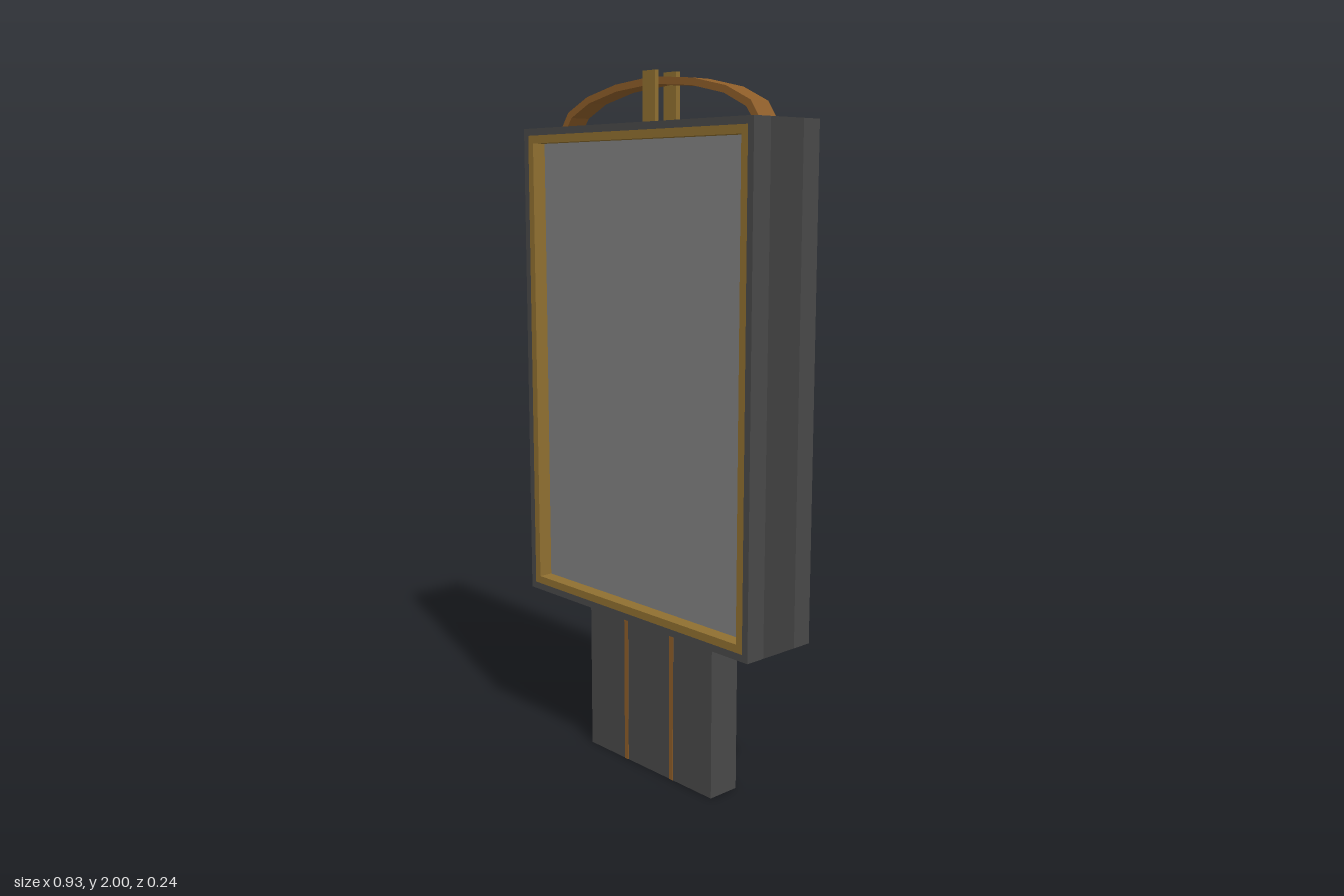
import * as THREE from 'three';

const mat = (color) => new THREE.MeshStandardMaterial({ color, flatShading: true });

export function createModel() {
  const model = new THREE.Group();
  const dark = mat(0x484848), darker = mat(0x404040), screenGrey = mat(0x808080);
  const gold = mat(0x8f6f30), bronze = mat(0x8c5c28);

  const add = (name, geometry, material, parent = model) => {
    const mesh = new THREE.Mesh(geometry, material);
    mesh.name = name;
    parent.add(mesh);
    return mesh;
  };
  const box = (name, w, h, d, x, y, z, material, parent) => {
    const mesh = add(name, new THREE.BoxGeometry(w, h, d), material, parent);
    mesh.position.set(x, y, z);
    return mesh;
  };

  // Rectangular ring, extruded from z = 0 forwards
  const ring = (w, h, innerW, innerH, depth) => {
    const rect = (path, a, b) => path.moveTo(-a / 2, -b / 2).lineTo(a / 2, -b / 2)
      .lineTo(a / 2, b / 2).lineTo(-a / 2, b / 2).closePath();
    const shape = rect(new THREE.Shape(), w, h);
    shape.holes.push(rect(new THREE.Path(), innerW, innerH));
    return new THREE.ExtrudeGeometry(shape, { depth, bevelEnabled: false });
  };

  const W = 0.93, H = 1.39, midY = 1.165;

  // Middle band of the cabinet
  box('cabinetCore', W, H, 0.12, 0, midY, 0, darker);

  // Two matching display faces, front and back
  for (const [name, turn, panel] of [['front', 0, screenGrey], ['back', Math.PI, darker]]) {
    const face = new THREE.Group();
    face.name = name + 'Display';
    face.position.y = midY;
    face.rotation.y = turn;
    model.add(face);
    add(name + 'Frame', ring(W, H, 0.89, 1.35, 0.06), dark, face).position.z = 0.06;
    add(name + 'GoldTrim', ring(0.89, 1.35, 0.845, 1.305, 0.06), gold, face).position.z = 0.06;
    box(name + 'Screen', 0.845, 1.305, 0.02, 0, 0, 0.068, panel, face);
  }

  // Pedestal with slim inlaid strips on both sides
  box('pedestal', 0.524, 0.47, 0.1, 0, 0.235, 0, dark);
  for (const x of [-0.098, 0.098]) {
    for (const z of [-0.05, 0.05]) box('pedestalStrip', 0.016, 0.47, 0.003, x, 0.235, z, bronze);
  }

  // Faceted arch on the roof: outer edge out, inner edge back
  const half = [[0.4, 1.86], [0.368, 1.905], [0.28, 1.945], [0.155, 1.972]];
  const innerHalf = [[0.375, 1.86], [0.352, 1.89], [0.272, 1.927], [0.152, 1.953]];
  const mirror = (pts, top) => [
    ...pts, [0, top], ...[...pts].reverse().map(([x, y]) => [-x, y]),
  ];
  const outline = [...mirror(half, 1.985), ...mirror(innerHalf, 1.965).reverse()];
  const archShape = new THREE.Shape(outline.map(([x, y]) => new THREE.Vector2(x, y)));
  const arch = new THREE.ExtrudeGeometry(archShape, { depth: 0.064, bevelEnabled: false });
  add('roofArch', arch, bronze).position.z = -0.032;

  // Posts clasping the middle of the arch
  for (const z of [-0.039, 0.039]) box('archPost', 0.05, 0.14, 0.014, 0, 1.93, z, gold);

  return model;
}
